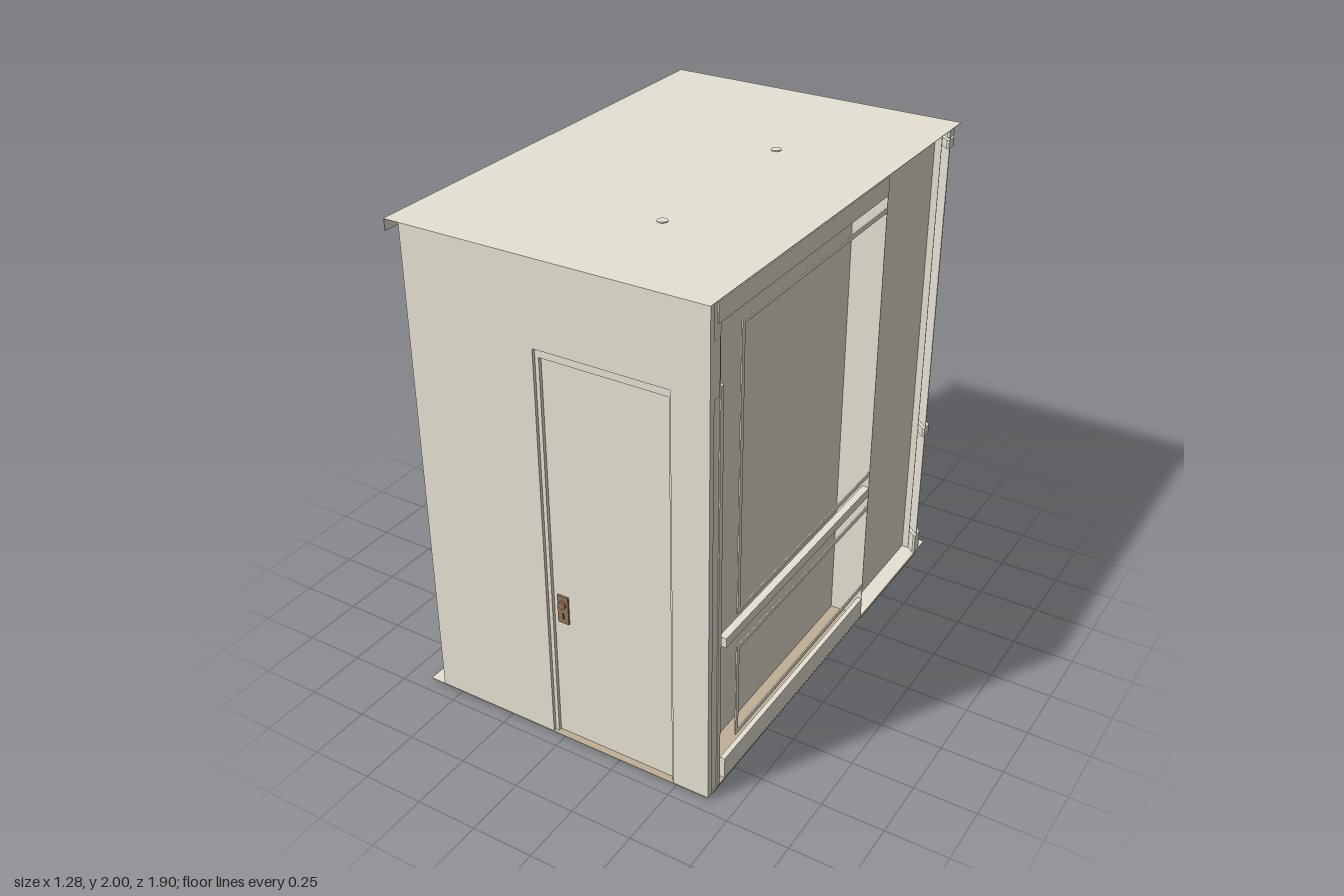
import * as THREE from 'three';

export function createModel() {
  const model = new THREE.Group();
  const mat = (name, color) => {
    const m = new THREE.MeshStandardMaterial({ color, side: THREE.DoubleSide });
    m.name = name;
    return m;
  };
  const plaster = mat('warm plaster', 0xe7e2d4);
  const wood = mat('floor wood', 0xc1b094);
  const bronze = mat('bronze', 0x957557);
  const dark = mat('dark metal', 0x55504a);

  const add = (name, geo, material, parent = model) => {
    const mesh = new THREE.Mesh(geo, material);
    mesh.name = name;
    parent.add(mesh);
    return mesh;
  };
  // Box given by its limits on each axis
  const box = (name, [x0, x1], [y0, y1], [z0, z1], material = plaster, parent = model) => {
    const mesh = add(name, new THREE.BoxGeometry(x1 - x0, y1 - y0, z1 - z0), material, parent);
    mesh.position.set((x0 + x1) / 2, (y0 + y1) / 2, (z0 + z1) / 2);
    return mesh;
  };
  // Upright thin wall between two plan points
  const wall = (name, [xa, za], [xb, zb], y0 = 0.015, y1 = 1.995) => {
    const length = Math.hypot(xb - xa, zb - za);
    const mesh = add(name, new THREE.BoxGeometry(length, y1 - y0, 0.003), plaster);
    mesh.position.set((xa + xb) / 2, (y0 + y1) / 2, (za + zb) / 2);
    mesh.rotation.y = -Math.atan2(zb - za, xb - xa);
  };
  const points = (list) => list.map(([a, b]) => new THREE.Vector2(a, b));
  const extrude = (shape, depth) => new THREE.ExtrudeGeometry(shape, { depth, bevelEnabled: false });
  // Picture-frame moulding on a side wall; its back end may stay open
  const sideFrame = (name, x, z0, z1, y0, y1, open) => {
    const w = 0.018;
    const frame = new THREE.Group();
    frame.name = name;
    model.add(frame);
    const xs = [x, x + 0.005];
    box('bottomBar', xs, [y0, y0 + w], [z0, z1], plaster, frame);
    box('topBar', xs, [y1 - w, y1], [z0, z1], plaster, frame);
    box('frontBar', xs, [y0 + w, y1 - w], [z1 - w, z1], plaster, frame);
    if (!open) box('backBar', xs, [y0 + w, y1 - w], [z0, z0 + w], plaster, frame);
  };

  // Ceiling and floor sheets, with pale borders around the wood
  box('ceiling', [-0.645, 0.64], [1.994, 1.996], [-0.951, 0.951]);
  box('floor', [-0.645, 0.64], [0.012, 0.014], [-0.951, 0.951], wood);
  box('backFloorBorder', [0.08, 0.57], [0.0142, 0.0155], [-0.951, -0.87]);
  box('leftFloorBorder', [-0.645, -0.58], [0.0142, 0.0155], [0.6, 0.951]);
  box('sideSill', [0.57, 0.64], [0, 0.012], [-0.86, -0.31], wood);
  box('sideSillTop', [0.57, 0.64], [0.0142, 0.0155], [-0.951, -0.305]);
  box('frontThreshold', [0.57, 0.638], [0.004, 0.012], [-0.23, 0.91]);

  // Front wall with a door opening
  const front = new THREE.Shape(points([[-0.58, 0.015], [-0.045, 0.015], [-0.045, 1.665],
    [0.493, 1.665], [0.493, 0.015], [0.64, 0.015], [0.64, 1.994], [-0.58, 1.994]]));
  add('frontWall', extrude(front, 0.025), plaster).position.z = 0.925;

  // Side and back walls, set back under the ceiling, and the diagonal pilaster
  wall('recessedSideWall', [0.5, 0.925], [0.5, -0.305]);
  wall('recessReturn', [0.5, -0.305], [0.638, -0.305]);
  wall('sideBayWall', [0.57, -0.305], [0.57, -0.918]);
  wall('cornerPilaster', [0.638, -0.86], [0.54, -0.947]);
  wall('backWall', [0.6, -0.87], [-0.58, -0.87]);
  wall('leftSideWall', [-0.58, -0.95], [-0.58, 0.925]);

  // Bands around the corner pilaster
  for (const [y0, y1] of [[0.015, 0.105], [0.62, 0.66], [1.92, 1.955], [1.965, 1.99]]) {
    const shape = new THREE.Shape(points(
      [[0.63, 0.845], [0.64, 0.845], [0.64, 0.89], [0.585, 0.95], [0.52, 0.95], [0.53, 0.93]]));
    const band = add('pilasterBand', extrude(shape, y1 - y0), plaster);
    band.rotation.x = -Math.PI / 2;
    band.position.y = y0;
  }

  // Mouldings along the recessed side
  box('sideBaseboard', [0.62, 0.64], [0.015, 0.107], [-0.305, 0.83]);
  box('sideChairRail', [0.61, 0.64], [0.62, 0.66], [-0.305, 0.83]);
  box('sideCrown', [0.615, 0.64], [1.915, 1.99], [-0.305, 0.9]);
  sideFrame('lowerSideFrame', 0.633, -0.305, 0.75, 0.16, 0.57, true);
  sideFrame('upperSideFrame', 0.633, -0.305, 0.75, 0.715, 1.865, true);

  // Mouldings along the other side, turning in at the back end
  for (const [name, ys] of [['leftBaseboard', [0.015, 0.107]], ['leftChairRail', [0.62, 0.66]]]) {
    box(name, [-0.645, -0.58], ys, [-0.95, -0.03]);
    box(name + 'Return', [-0.58, -0.565], ys, [-0.95, -0.87]);
  }
  sideFrame('lowerLeftFrame', -0.645, -0.85, -0.09, 0.16, 0.57, false);
  sideFrame('upperLeftFrame', -0.645, -0.85, -0.09, 0.715, 1.865, false);
  box('leftUpperPlate', [-0.645, -0.64], [1.73, 1.99], [-0.03, 0.215]);
  box('leftFascia', [-0.645, -0.642], [1.95, 1.994], [0.215, 0.95]);

  // Door set into the opening, with a stepped casing
  const door = new THREE.Group();
  door.name = 'door';
  model.add(door);
  box('doorLeaf', [-0.03, 0.48], [0.015, 1.63], [0.919, 0.923], plaster, door);
  for (const [x0, x1] of [[-0.045, -0.03], [0.48, 0.493]]) {
    box('doorCasing', [x0, x1], [0.015, 1.665], [0.919, 0.937], plaster, door);
  }
  box('doorHeadCasing', [-0.03, 0.48], [1.63, 1.665], [0.919, 0.937], plaster, door);

  // Front corner trim
  box('cornerTrim', [0.62, 0.64], [0.015, 1.69], [0.865, 0.885]);
  box('upperCornerTrim', [0.62, 0.64], [1.66, 1.865], [0.89, 0.925]);
  box('cornerStile', [0.62, 0.636], [0.015, 1.99], [0.88, 0.925]);

  // Door handle: plate, knob and keyhole
  box('handlePlate', [-0.012, 0.035], [0.54, 0.66], [0.922, 0.93], bronze, door);
  const knob = add('knob', new THREE.CylinderGeometry(0.015, 0.015, 0.012, 20), bronze, door);
  knob.rotation.x = Math.PI / 2;
  knob.position.set(0.012, 0.625, 0.935);
  box('keyhole', [0.008, 0.016], [0.56, 0.585], [0.929, 0.933], dark, door);

  // Ceiling light housings
  for (const z of [-0.31, 0.48]) {
    const light = add('lightHousing', new THREE.CylinderGeometry(0.02, 0.02, 0.01, 24), plaster);
    light.position.set(0.17, 1.995, z);
  }
  return model;
}
